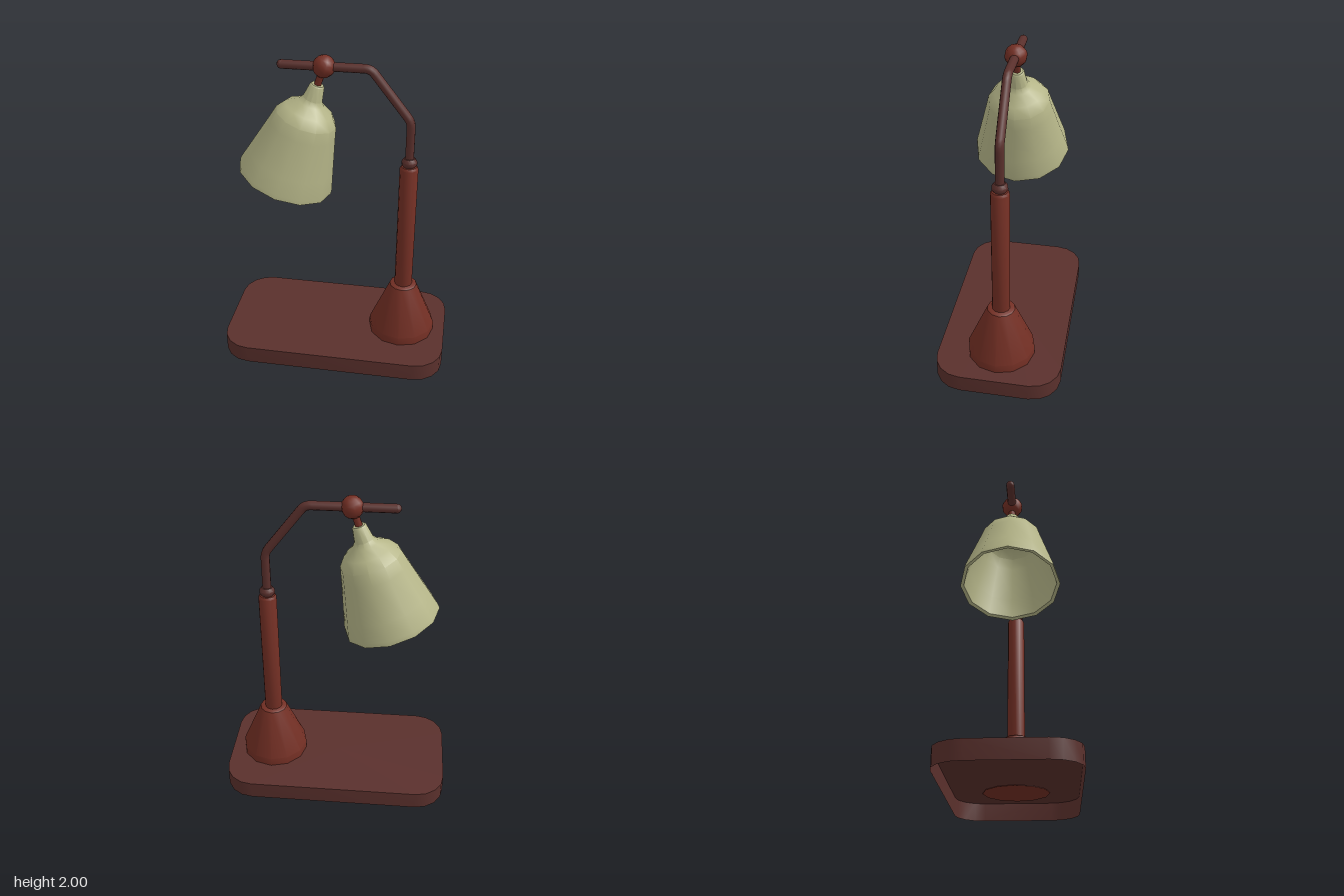
import * as THREE from 'three';
import { toCreasedNormals } from 'three/addons/utils/BufferGeometryUtils.js';

const SIDES = 12;
const POST_X = 0.434;   // column position along the base
const BALL_X = -0.083;  // joint position along the arm
const ARM_Y = 1.932;

export function createModel() {
  const model = new THREE.Group();
  model.name = 'deskLamp';
  const red = new THREE.MeshStandardMaterial({ color: 0x732f24 });
  const brown = new THREE.MeshStandardMaterial({ color: 0x5a302c });
  const openBrown = new THREE.MeshStandardMaterial({ color: 0x5a302c, side: THREE.DoubleSide });
  const cream = new THREE.MeshStandardMaterial({ color: 0xb5b588 });

  const add = (parent, name, geometry, material, x = 0, y = 0) => {
    const mesh = new THREE.Mesh(geometry, material);
    mesh.name = name;
    mesh.position.set(x, y, 0);
    parent.add(mesh);
    return mesh;
  };
  // Turned part from [radius, height] pairs, listed upward on the outside
  const turned = (pairs, sides = SIDES) => toCreasedNormals(
    new THREE.LatheGeometry(pairs.map(([r, y]) => new THREE.Vector2(r, y)), sides), 0.6);

  // Base: rounded slab, a shell open underneath
  const L = 0.725, W = 0.402, R = 0.185, H = 0.115, STEPS = 4;
  const positions = [0, H, 0], faces = [];
  [[1, 1], [-1, 1], [-1, -1], [1, -1]].forEach(([sx, sz], corner) => {
    for (let i = 0; i <= STEPS; i++) {
      const a = (corner + i / STEPS) * Math.PI / 2;
      const x = sx * (L - R) + R * Math.cos(a), z = sz * (W - R) + R * Math.sin(a);
      positions.push(x, H, z, x, 0, z);
    }
  });
  const count = 4 * (STEPS + 1);
  for (let i = 0; i < count; i++) {
    const a = 1 + 2 * i, b = 1 + 2 * ((i + 1) % count);
    faces.push(0, b, a, a, b, a + 1, b, b + 1, a + 1);
  }
  const slab = new THREE.BufferGeometry();
  slab.setAttribute('position', new THREE.Float32BufferAttribute(positions, 3));
  slab.setIndex(faces);
  add(model, 'base', toCreasedNormals(slab, 0.6), openBrown);

  // Column: conical foot, post and collar
  add(model, 'foot', turned([[0, 0.112], [0.215, 0.112], [0.215, 0.17], [0.088, 0.468], [0.076, 0.475], [0, 0.475]]), red, POST_X);
  add(model, 'post', turned([[0.057, 0.45], [0.057, 1.318], [0.048, 1.332], [0, 1.332]]), red, POST_X);
  add(model, 'collar', turned([[0, 1.328], [0.034, 1.328], [0.048, 1.348], [0.048, 1.366], [0.034, 1.386], [0, 1.386]]), brown, POST_X);

  // Arm: bent rod with softened elbows
  const v = (x, y) => new THREE.Vector3(x, y, 0);
  const corners = [v(POST_X, 1.36), v(POST_X, 1.62), v(0.19, ARM_Y), v(-0.335, ARM_Y)];
  const path = new THREE.CurvePath();
  let from = corners[0];
  for (let i = 1; i < corners.length - 1; i++) {
    const c = corners[i];
    const before = c.clone().add(corners[i - 1].clone().sub(c).setLength(0.035));
    const after = c.clone().add(corners[i + 1].clone().sub(c).setLength(0.035));
    path.add(new THREE.LineCurve3(from, before));
    path.add(new THREE.QuadraticBezierCurve3(before, c, after));
    from = after;
  }
  path.add(new THREE.LineCurve3(from, corners[3]));
  add(model, 'arm', new THREE.TubeGeometry(path, 56, 0.027, 10), brown);
  add(model, 'armTip', new THREE.SphereGeometry(0.027, 10, 6), brown, -0.335, ARM_Y);

  // Head: ball joint, stem and shade, tilted about the joint
  const head = new THREE.Group();
  head.name = 'head';
  head.position.set(BALL_X, ARM_Y, 0);
  head.rotation.z = -0.328;
  model.add(head);
  add(head, 'ballJoint', new THREE.SphereGeometry(0.068, 10, 8), red);
  add(head, 'stem', new THREE.CylinderGeometry(0.022, 0.022, 0.14, 10), red, 0, -0.08);
  add(head, 'shade', turned([
    // inside, downward
    [0, -0.255], [0.06, -0.262], [0.125, -0.298], [0.168, -0.345], [0.192, -0.42], [0.255, -0.64], [0.282, -0.768],
    // rim and outside, upward
    [0.303, -0.774], [0.299, -0.745], [0.27, -0.64], [0.209, -0.415], [0.19, -0.34], [0.148, -0.283],
    [0.08, -0.24], [0.06, -0.212], [0.044, -0.125], [0.037, -0.118], [0, -0.118],
  ]), cream);

  // The lamp stands diagonally
  model.rotation.y = Math.PI / 4;
  const root = new THREE.Group();
  root.name = 'lamp';
  root.add(model);
  return root;
}
